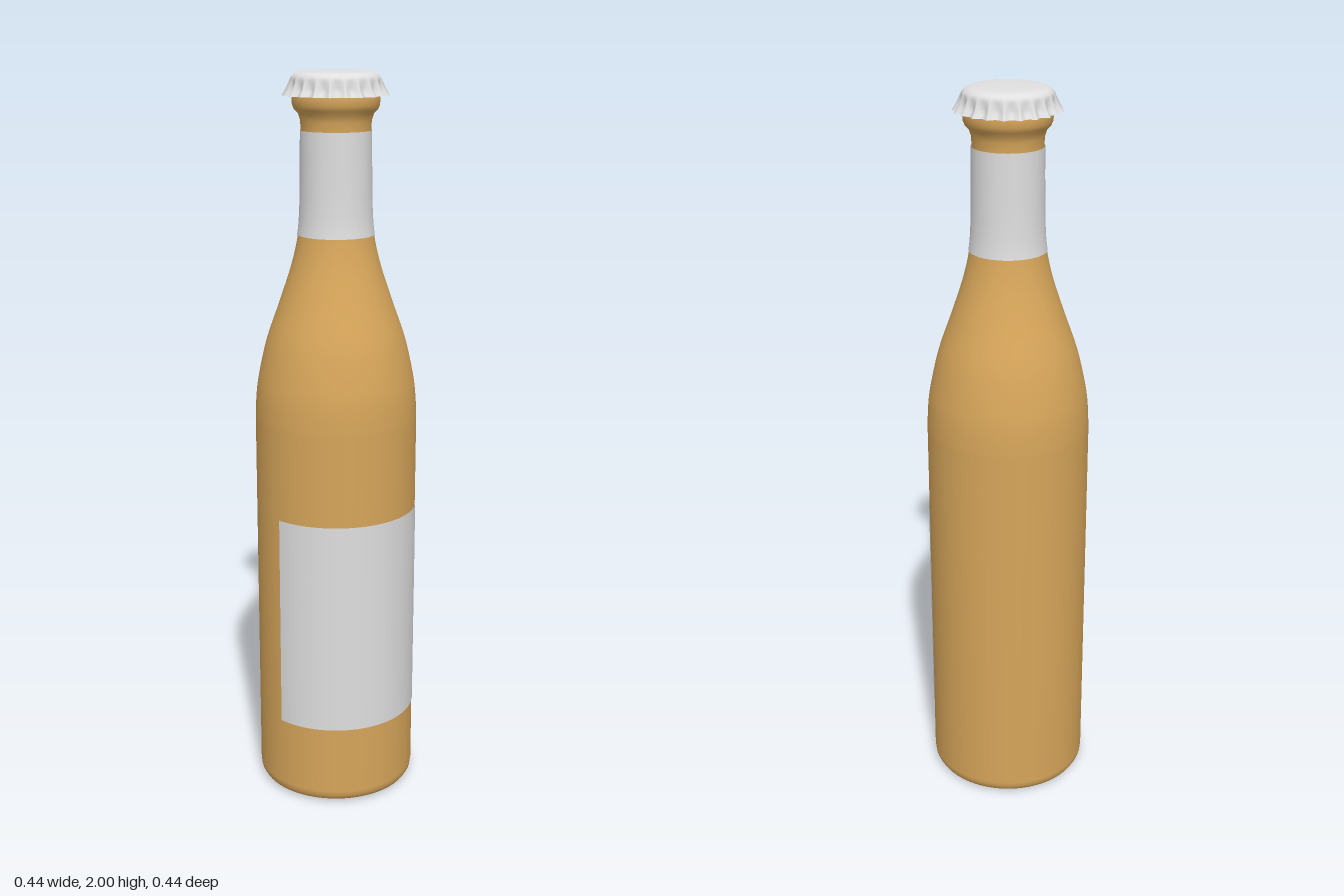
import * as THREE from 'three';

const glass = new THREE.MeshStandardMaterial({ name: 'amberGlass', color: 0xd6a55a });
const paper = new THREE.MeshStandardMaterial({ name: 'labelPaper', color: 0xdedede, side: THREE.DoubleSide });
const metal = new THREE.MeshStandardMaterial({ name: 'capMetal', color: 0xe0e0e0, side: THREE.DoubleSide });

const points = (list) => list.map(([r, y]) => new THREE.Vector2(r, y));

function add(group, name, geometry, material) {
  const mesh = new THREE.Mesh(geometry, material);
  mesh.name = name;
  group.add(mesh);
}

// Crown cap: a lathe whose skirt is pushed out into pointed flutes
function capGeometry() {
  const flutes = 21;
  const profile = new THREE.SplineCurve(points([
    [0.141, 1.938], [0.133, 1.95], [0.124, 1.967], [0.116, 1.984], [0.104, 1.994], [0.085, 1.998], [0.05, 2], [0, 2],
  ])).getPoints(24);
  profile.forEach((p) => { p.x = Math.max(p.x, 0); });
  profile[profile.length - 1].x = 0;
  const geometry = new THREE.LatheGeometry(profile, flutes * 8);
  const pos = geometry.attributes.position;
  for (let i = 0; i < pos.count; i++) {
    const x = pos.getX(i), z = pos.getZ(i);
    const depth = THREE.MathUtils.clamp((1.985 - pos.getY(i)) / 0.03, 0, 1);
    const wave = Math.abs(Math.sin(Math.atan2(z, x) * flutes / 2));
    const k = 1 - 0.095 * depth * wave;
    pos.setX(i, x * k);
    pos.setZ(i, z * k);
  }
  geometry.computeVertexNormals();
  // Match normals along the seam
  const n = geometry.attributes.normal, rows = profile.length, last = flutes * 8 * rows;
  for (let j = 0; j < rows; j++) {
    const v = new THREE.Vector3().fromBufferAttribute(n, j)
      .add(new THREE.Vector3().fromBufferAttribute(n, last + j)).normalize();
    n.setXYZ(j, v.x, v.y, v.z);
    n.setXYZ(last + j, v.x, v.y, v.z);
  }
  return geometry;
}

export function createModel() {
  const model = new THREE.Group();
  model.name = 'bottle';

  // Rounded base and straight body, smooth shoulder, neck and lip
  const shoulder = new THREE.SplineCurve(points([
    [0.221, 1.08], [0.218, 1.14], [0.21, 1.2], [0.187, 1.3], [0.152, 1.4],
    [0.119, 1.5], [0.101, 1.58], [0.095, 1.65], [0.093, 1.75], [0.092, 1.85],
  ])).getPoints(36);
  const outline = [
    ...points([[0, 0.008], [0.15, 0.008], [0.185, 0], [0.2, 0.002], [0.212, 0.009], [0.219, 0.021], [0.221, 0.036], [0.221, 0.5]]),
    ...shoulder,
    ...points([[0.093, 1.875], [0.099, 1.893], [0.109, 1.903], [0.114, 1.915], [0.115, 1.93], [0.113, 1.95], [0.105, 1.965], [0, 1.966]]),
  ];
  add(model, 'glassBottle', new THREE.LatheGeometry(outline, 64), glass);

  // Front label wraps a little past the sides
  const half = THREE.MathUtils.degToRad(67);
  add(model, 'frontLabel', new THREE.CylinderGeometry(0.2225, 0.2225, 0.6, 48, 1, true, -half, half * 2).translate(0, 0.53, 0), paper);

  // Neck label follows the neck
  const band = shoulder.filter((p) => p.y > 1.585 && p.y < 1.845).map((p) => new THREE.Vector2(p.x + 0.002, p.y));
  band.unshift(new THREE.Vector2(0.103, 1.58));
  band.push(new THREE.Vector2(0.094, 1.85));
  add(model, 'neckLabel', new THREE.LatheGeometry(band, 64), paper);

  add(model, 'crownCap', capGeometry(), metal);
  return model;
}
